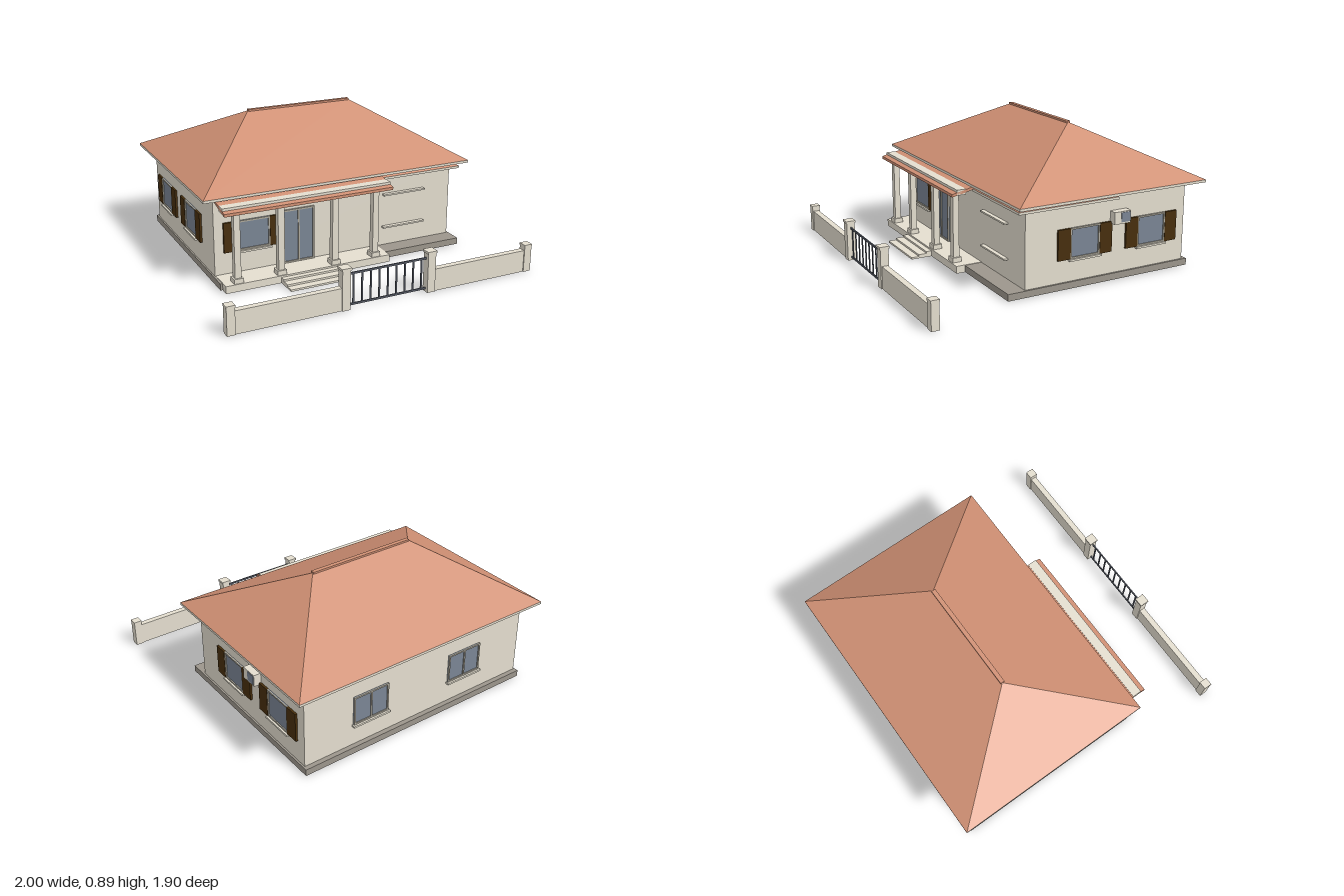
import * as THREE from 'three';

const mat = (name, color) => {
  const m = new THREE.MeshStandardMaterial({ color });
  m.name = name;
  return m;
};

export function createModel() {
  const wall = mat('plaster', 0xe4decf);
  const roof = mat('roofTile', 0xd09074);
  const stone = mat('plinthStone', 0x9c968c);
  const glass = mat('glass', 0x7a8594);
  const wood = mat('shutterWood', 0x472e0c);
  const trim = mat('windowTrim', 0xaea99c);
  const iron = mat('gateIron', 0x565b66);
  const house = new THREE.Group();
  house.name = 'house';

  // Box given by its minimum and maximum corners
  function box(name, m, x0, x1, y0, y1, z0, z1, parent = house) {
    const mesh = new THREE.Mesh(new THREE.BoxGeometry(x1 - x0, y1 - y0, z1 - z0), m);
    mesh.position.set((x0 + x1) / 2, (y0 + y1) / 2, (z0 + z1) / 2);
    mesh.name = name;
    parent.add(mesh);
  }

  // Hipped solid: a box whose top face is moved to a smaller rectangle
  function hip(name, m, bottom, top, y0, y1) {
    let g = new THREE.BoxGeometry(1, 1, 1);
    const p = g.attributes.position;
    for (let i = 0; i < p.count; i++) {
      const up = p.getY(i) > 0;
      const r = up ? top : bottom;
      p.setXYZ(i, p.getX(i) > 0 ? r[1] : r[0], up ? y1 : y0, p.getZ(i) > 0 ? r[3] : r[2]);
    }
    g = g.toNonIndexed();
    g.computeVertexNormals();
    const mesh = new THREE.Mesh(g, m);
    mesh.name = name;
    house.add(mesh);
  }

  // Plinth: slab on a hollow rim
  box('plinthSlab', stone, -0.83, 0.83, 0.036, 0.044, -0.89, 0.385);
  for (const x of [-0.83, 0.82]) box('plinthSide', stone, x, x + 0.01, 0.002, 0.036, -0.89, 0.385);
  for (const z of [-0.89, 0.375]) box('plinthEnd', stone, -0.82, 0.82, 0.002, 0.036, z, z + 0.01);
  box('walls', wall, -0.82, 0.818, 0.044, 0.55, -0.86, 0.27);

  // Main roof with eaves and ridge cap
  box('eaves', wall, -0.905, 0.905, 0.547, 0.563, -0.95, 0.355);
  hip('mainRoof', roof, [-0.905, 0.905, -0.95, 0.355], [-0.36, 0.36, -0.299, -0.297], 0.563, 0.886);
  box('ridgeCap', roof, -0.36, 0.36, 0.882, 0.894, -0.31, -0.283);

  // Lower corner roof under the main eaves
  box('lowerEaves', wall, 0.29, 0.853, 0.51, 0.525, -0.345, 0.33);
  hip('lowerRoof', roof, [0.29, 0.853, -0.345, 0.33], [0.29, 0.818, -0.3, 0.29], 0.525, 0.547);

  // Porch canopy: sloping slab with a beam
  const slope = new THREE.Shape([[-0.27, 0.53], [-0.465, 0.488], [-0.465, 0.506], [-0.27, 0.548]]
    .map(([x, y]) => new THREE.Vector2(x, y)));
  const canopy = new THREE.Mesh(new THREE.ExtrudeGeometry(slope, { depth: 1.105, bevelEnabled: false }), roof);
  canopy.rotation.y = Math.PI / 2;
  canopy.position.x = -0.82;
  canopy.name = 'porchCanopy';
  house.add(canopy);
  box('porchBeam', wall, -0.82, 0.285, 0.495, 0.529, 0.372, 0.432);

  // Porch floor, steps and columns
  box('porchFloor', wall, -0.815, 0.285, 0, 0.047, 0.16, 0.442);
  [0.58, 0.53, 0.477].forEach((z, i) =>
    box('step', wall, -0.46, -0.08, 0, 0.012 * (i + 1), 0.43, z));
  for (const x of [-0.73, -0.45, -0.09, 0.19]) {
    box('columnBase', wall, x - 0.03, x + 0.03, 0.047, 0.077, 0.375, 0.435);
    box('columnShaft', wall, x - 0.02, x + 0.02, 0.077, 0.48, 0.385, 0.425);
    box('columnCapital', wall, x - 0.025, x + 0.025, 0.48, 0.497, 0.38, 0.43);
  }

  // Window or door facing local +z, with its wall plane at z = 0
  function opening(name, w, y0, y1, x, z, turn, { shutters, sill = true, mullion } = {}) {
    const g = new THREE.Group();
    g.name = name;
    g.position.set(x, 0, z);
    g.rotation.y = turn;
    const h = w / 2, t = 0.01;
    box('pane', glass, -h, h, y0, y1, 0, 0.005, g);
    for (const s of [-1, 1]) {
      const e = s * (h - t / 2);
      box('jamb', trim, e - t / 2, e + t / 2, y0, y1, 0, 0.012, g);
      const c = s * (h + 0.042);
      if (shutters) box('shutter', wood, c - 0.043, c + 0.043, y0, y1, 0, 0.014, g);
    }
    box('head', trim, -h, h, y1 - t, y1, 0, 0.012, g);
    box('threshold', trim, -h, h, y0, y0 + t, 0, 0.012, g);
    if (mullion) box('mullion', trim, -t / 2, t / 2, y0, y1, 0, 0.012, g);
    if (sill) box('sill', wall, -h - 0.008, h + 0.008, y0 - 0.012, y0, 0, 0.024, g);
    house.add(g);
  }

  opening('frontWindow', 0.215, 0.187, 0.377, -0.569, 0.27, 0, { shutters: true });
  opening('frontDoor', 0.21, 0.047, 0.395, -0.27, 0.27, 0, { sill: false, mullion: true });
  for (const z of [-0.13, -0.607]) {
    opening('leftWindow', 0.205, 0.185, 0.373, 0.818, z, Math.PI / 2, { shutters: true });
    opening('rightWindow', 0.205, 0.185, 0.373, -0.82, z, -Math.PI / 2, { shutters: true });
  }
  for (const x of [0.355, -0.36])
    opening('backWindow', 0.25, 0.187, 0.377, x, -0.86, Math.PI, { mullion: true });

  // Ledges on the blank front wall
  for (const y of [0.17, 0.39])
    box('wallLedge', wall, 0.32, 0.62, y - 0.005, y + 0.005, 0.27, 0.297);

  // Air conditioner
  box('airConditioner', wall, 0.818, 0.865, 0.36, 0.436, -0.425, -0.31);
  box('airConditionerGrille', glass, 0.865, 0.868, 0.37, 0.43, -0.42, -0.357);

  // Fence walls and posts
  const fz = 0.916;
  function post(x, w, h, cap) {
    box('fencePost', wall, x - w / 2, x + w / 2, 0, h, fz - w / 2, fz + w / 2);
    box('postCap', wall, x - cap / 2, x + cap / 2, h, h + 0.014, fz - cap / 2, fz + cap / 2);
  }
  for (const s of [-1, 1]) {
    const c = s * 0.625;
    box('fenceWall', wall, c - 0.325, c + 0.325, 0, 0.14, fz - 0.019, fz + 0.019);
    post(s * 0.973, 0.05, 0.163, 0.054);
    post(s * 0.28, 0.052, 0.246, 0.062);
  }

  // Iron gate
  for (const y of [0.022, 0.213])
    box('gateRail', iron, -0.254, 0.254, y - 0.006, y + 0.006, fz - 0.004, fz + 0.004);
  for (let i = 0; i < 9; i++) {
    const x = -0.224 + i * 0.056;
    box('gateBar', iron, x - 0.005, x + 0.005, 0.022, 0.213, fz - 0.003, fz + 0.003);
  }
  return house;
}
